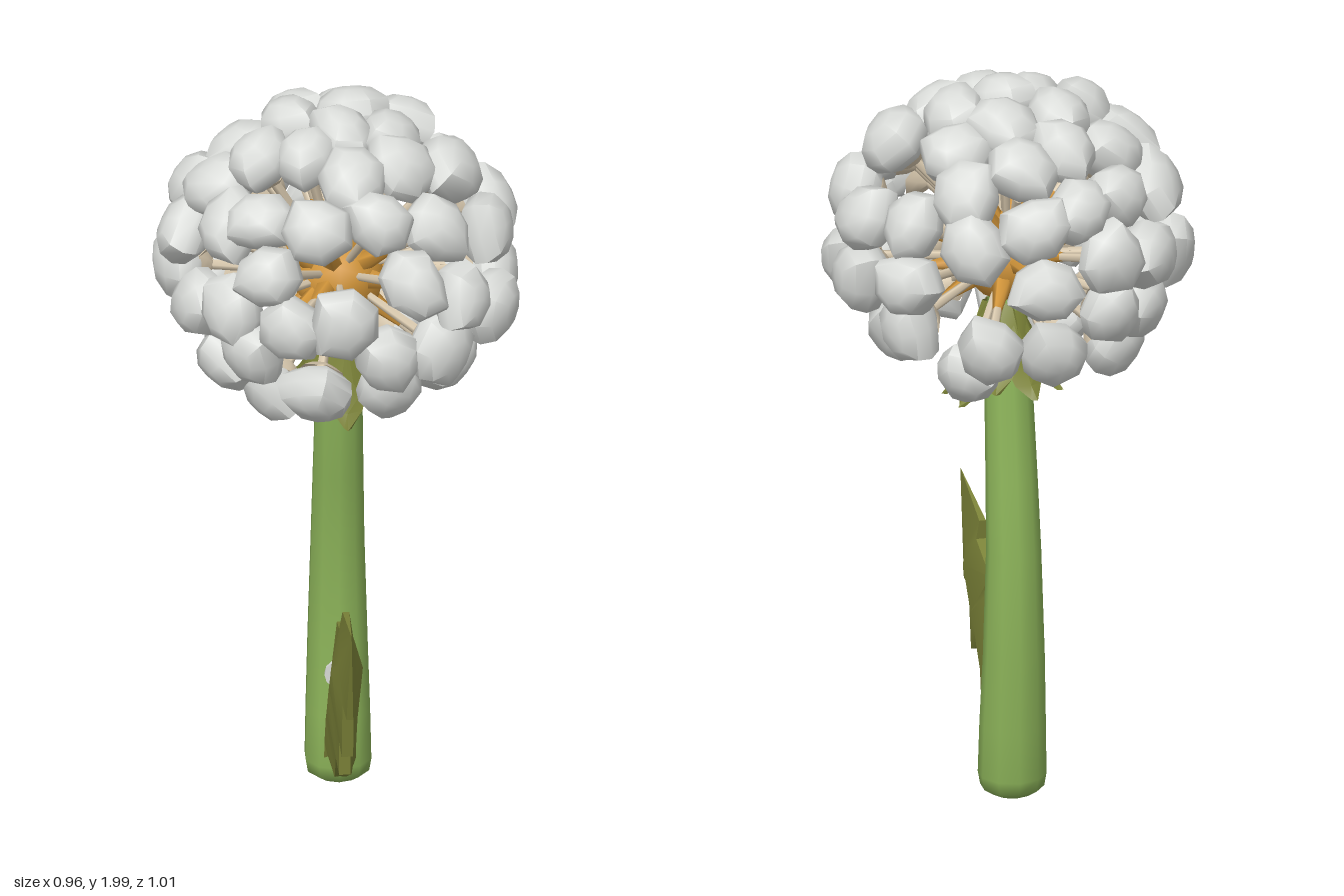
import * as THREE from 'three';
import { toCreasedNormals } from 'three/addons/utils/BufferGeometryUtils.js';

const mat = (name, color, side = THREE.FrontSide) => {
  const m = new THREE.MeshStandardMaterial({ color, side });
  m.name = name;
  return m;
};

// Small seeded generator for natural variation
let seed = 11;
const rand = (a, b) => {
  seed = (seed * 16807) % 2147483647;
  return a + (b - a) * (seed / 2147483647);
};

// Open surface joining neighbouring rows of points
function loft(rows, crease) {
  const n = rows[0].length, idx = [];
  for (let r = 0; r < rows.length - 1; r++)
    for (let i = 0; i < n - 1; i++) {
      const a = r * n + i, b = a + n;
      idx.push(a, b, a + 1, b, b + 1, a + 1);
    }
  const g = new THREE.BufferGeometry();
  g.setAttribute('position', new THREE.Float32BufferAttribute(rows.flat(2), 3));
  g.setIndex(idx);
  return toCreasedNormals(g, crease);
}

// Puffs placed by eye on the crown [x, z], the front [x, y] and the left side [z, y]
const crown = [[-0.13, -0.39], [0.01, -0.43], [0.19, -0.41], [-0.26, -0.31], [-0.11, -0.25], [0.02, -0.31],
  [0.19, -0.32], [0.34, -0.27], [-0.13, -0.11], [0.04, -0.165], [0.19, -0.2], [-0.28, -0.16], [-0.39, -0.16],
  [-0.44, 0], [-0.35, 0.02], [-0.23, 0.05], [-0.1, 0.09], [0.01, 0.02], [0.15, -0.01], [0.31, 0.04], [0.43, -0.1],
  [0.42, 0.09], [0.18, 0.12], [0.03, 0.2], [-0.33, 0.19], [-0.24, 0.25], [-0.08, 0.33], [0.1, 0.31], [0.28, 0.25]];
const front = [[-0.01, 1.56], [-0.16, 1.53], [0.1, 1.62], [0.12, 1.42], [0.13, 1.29], [-0.08, 1.26], [-0.27, 1.42],
  [-0.33, 1.55], [-0.42, 1.5], [0.29, 1.4], [0.35, 1.56], [0.42, 1.47], [0.31, 1.26], [-0.2, 1.22], [-0.33, 1.3],
  [0.22, 1.7], [-0.36, 1.68], [-0.22, 1.68]];
const side = [[0.04, 1.74], [0.26, 1.68], [-0.15, 1.68], [0.27, 1.55], [-0.07, 1.49], [0.04, 1.38], [0.14, 1.3],
  [-0.26, 1.4], [-0.15, 1.32], [-0.31, 1.55], [-0.42, 1.55], [-0.36, 1.68], [0.19, 1.21], [-0.26, 1.24], [-0.39, 1.35], [0.3, 1.33]];

// Head ellipsoid, and the unit directions of all puffs
const centre = new THREE.Vector3(0, 1.555, -0.02);
const radii = new THREE.Vector3(0.46, 0.41, 0.455);
function puffDirections() {
  const out = [];
  const place = (d, gap) => {
    d.normalize();
    if (out.every((o) => o.distanceTo(d) > gap)) out.push(d);
  };
  const fill = (a, b) => Math.sqrt(Math.max(0, 1 - a * a - b * b));
  const nx = (x) => x / radii.x, ny = (y) => (y - centre.y) / radii.y, nz = (z) => (z - centre.z) / radii.z;
  crown.forEach(([x, z]) => place(new THREE.Vector3(nx(x), fill(nx(x), nz(z)), nz(z)), 0.2));
  front.forEach(([x, y]) => place(new THREE.Vector3(nx(x), ny(y), fill(nx(x), ny(y))), 0.33));
  side.forEach(([z, y]) => place(new THREE.Vector3(fill(ny(y), nz(z)), ny(y), nz(z)), 0.33));
  // Even spread over the rest, leaving gaps for the stem and the front sepal
  for (let i = 0; i < 300; i++) {
    const y = 0.6 - (1.42 * i) / 300, h = Math.sqrt(1 - y * y), a = i * 2.39996;
    const d = new THREE.Vector3(Math.cos(a) * h, y, Math.sin(a) * h);
    if (!(y < -0.2 && Math.abs(d.x) < 0.25 && d.z > 0)) place(d, 0.41);
  }
  return out;
}

export function createModel() {
  seed = 11;
  const root = new THREE.Group();
  const green = mat('stem green', 0x8cb359);
  const olive = mat('leaf olive', 0x7d8439, THREE.DoubleSide);
  const white = mat('fluff grey', 0xdadcd9);
  const beige = mat('stalk beige', 0xddcdb2, THREE.DoubleSide);
  const orange = mat('seed orange', 0xd3963a);
  const add = (parent, name, geo, m) => {
    const mesh = new THREE.Mesh(geo, m);
    mesh.name = name;
    parent.add(mesh);
    return mesh;
  };

  // Stem: rings of [y, z centre, radius], bottom to top
  const rings = [[0.005, -0.1, 0.055], [0.025, -0.1, 0.085], [0.06, -0.1, 0.091], [0.2, -0.106, 0.088], [0.4, -0.12, 0.082],
    [0.7, -0.118, 0.073], [0.9, -0.093, 0.069], [1.15, -0.057, 0.064], [1.4, -0.035, 0.05]];
  const stem = new THREE.CylinderGeometry(1, 1, 1, 10, rings.length - 1);
  const p = stem.attributes.position;
  for (let i = 0; i < p.count; i++) {
    const [y, z, r] = rings[Math.round((p.getY(i) + 0.5) * (rings.length - 1))];
    p.setXYZ(i, p.getX(i) * r + 0.004, y, p.getZ(i) * r + z);
  }
  add(root, 'stem', toCreasedNormals(stem, 1.2), green);

  // Small pale tuft on the stem behind the leaf
  const tuft = add(root, 'stemTuft', new THREE.CylinderGeometry(0.04, 0.04, 0.012, 12), white);
  tuft.position.set(0.004, 0.33, -0.03);
  tuft.rotation.x = Math.PI / 2;

  // Toothed leaf: [z, y] edges and a raised ridge, closed round both sides
  const upper = [[0.5, 0.69], [0.24, 0.64], [0.25, 0.585], [0.09, 0.54], [0.125, 0.48],
    [0, 0.395], [0, 0.35], [-0.03, 0.22], [-0.05, 0.05]];
  const middle = [[0.5, 0.69], [0.33, 0.53], [0.29, 0.5], [0.2, 0.4], [0.165, 0.37],
    [0.09, 0.28], [0.05, 0.24], [-0.01, 0.14], [-0.04, 0.03]];
  const lower = [[0.5, 0.69], [0.42, 0.41], [0.34, 0.415], [0.31, 0.25], [0.2, 0.3],
    [0.19, 0.14], [0.08, 0.18], [0, 0.05], [-0.04, 0.015]];
  const row = (pts, x) => pts.map(([z, y], i) => [0.005 + x * Math.min(1, i * 0.6), y, z]);
  add(root, 'leaf', loft([row(upper, -0.015), row(upper, 0.015), row(middle, 0.042), row(lower, 0.015),
    row(lower, -0.015), row(middle, -0.042), row(upper, -0.015)], 0.9), olive);

  // Drooping sepals under the head: [radius, y, half width], ring tilted forward
  const sepals = new THREE.Group();
  sepals.name = 'sepals';
  sepals.position.set(0.02, 1.3, -0.05);
  sepals.rotation.x = 0.14;
  root.add(sepals);
  const count = 9;
  for (let k = 0; k < count; k++) {
    const drop = rand(-0.01, 0.04);
    const prof = [[0.05, 0.08, 0.02], [0.08, 0, 0.048], [0.105, -0.08 + drop * 0.5, 0.055],
      [0.135, -0.14 + drop, 0.04], [0.165, -0.175 + drop, 0.01]];
    const rows = [-1, 0, 1].map((s) => prof.map(([r, y, w]) => [s * w, y, r - Math.abs(s) * 0.014]));
    add(sepals, 'sepal', loft(rows, 0.6), olive).rotation.y = (k / count) * Math.PI * 2;
  }

  // Seed head: orange core with radiating seeds
  const heart = new THREE.Vector3(0, 1.5, -0.03);
  add(root, 'core', new THREE.IcosahedronGeometry(0.125, 1), orange).position.copy(heart);
  const head = new THREE.Group();
  head.name = 'seedHead';
  root.add(head);

  const v2 = (a) => a.map(([x, y]) => new THREE.Vector2(x, y));
  const seedGeo = new THREE.CylinderGeometry(0.012, 0.03, 0.13, 5);
  const stalkGeo = new THREE.CylinderGeometry(0.015, 0.009, 1, 5).translate(0, 0.5, 0);
  const cupGeo = new THREE.LatheGeometry(v2([[0.008, -0.125], [0.04, -0.112], [0.07, -0.09]]), 7);
  // Lumpy domes in several variants, bent by a smooth rule
  const domes = [0, 1, 2, 3].map((k) => {
    const g = new THREE.LatheGeometry(v2([[0.066, -0.094], [0.099, -0.07], [0.107, -0.035], [0.09, 0.005], [0.05, 0.032], [0.0001, 0.038]]), 7);
    const q = g.attributes.position;
    for (let i = 0; i < q.count; i++) {
      const a = Math.atan2(q.getZ(i), q.getX(i));
      const f = 1 + 0.1 * Math.sin(2 * a + k) + 0.07 * Math.sin(3 * a + 2 * k);
      q.setXYZ(i, q.getX(i) * f, q.getY(i) + q.getX(i) * 0.15 * Math.sin(k * 2), q.getZ(i) * f);
    }
    return toCreasedNormals(g, 0.9);
  });

  const up = new THREE.Vector3(0, 1, 0);
  puffDirections().forEach((dir, i) => {
    const tip = dir.clone().multiply(radii).multiplyScalar(rand(0.95, 1.01)).add(centre);
    const ray = tip.clone().sub(heart);
    const len = ray.length();

    const floret = new THREE.Group();
    floret.name = 'floret';
    floret.position.copy(heart);
    floret.quaternion.setFromUnitVectors(up, ray.normalize());
    head.add(floret);
    if (i % 2 === 0) add(floret, 'seed', seedGeo, orange).position.y = 0.155;
    add(floret, 'stalk', stalkGeo, beige).scale.y = len - 0.08;

    const puff = new THREE.Group();
    puff.name = 'puff';
    puff.position.y = len;
    puff.rotation.y = rand(0, 6.28);
    puff.scale.set(rand(0.82, 1), 1, rand(0.82, 1));
    floret.add(puff);
    add(puff, 'cup', cupGeo, beige);
    add(puff, 'fluff', domes[i % 4], white);
  });
  return root;
}
